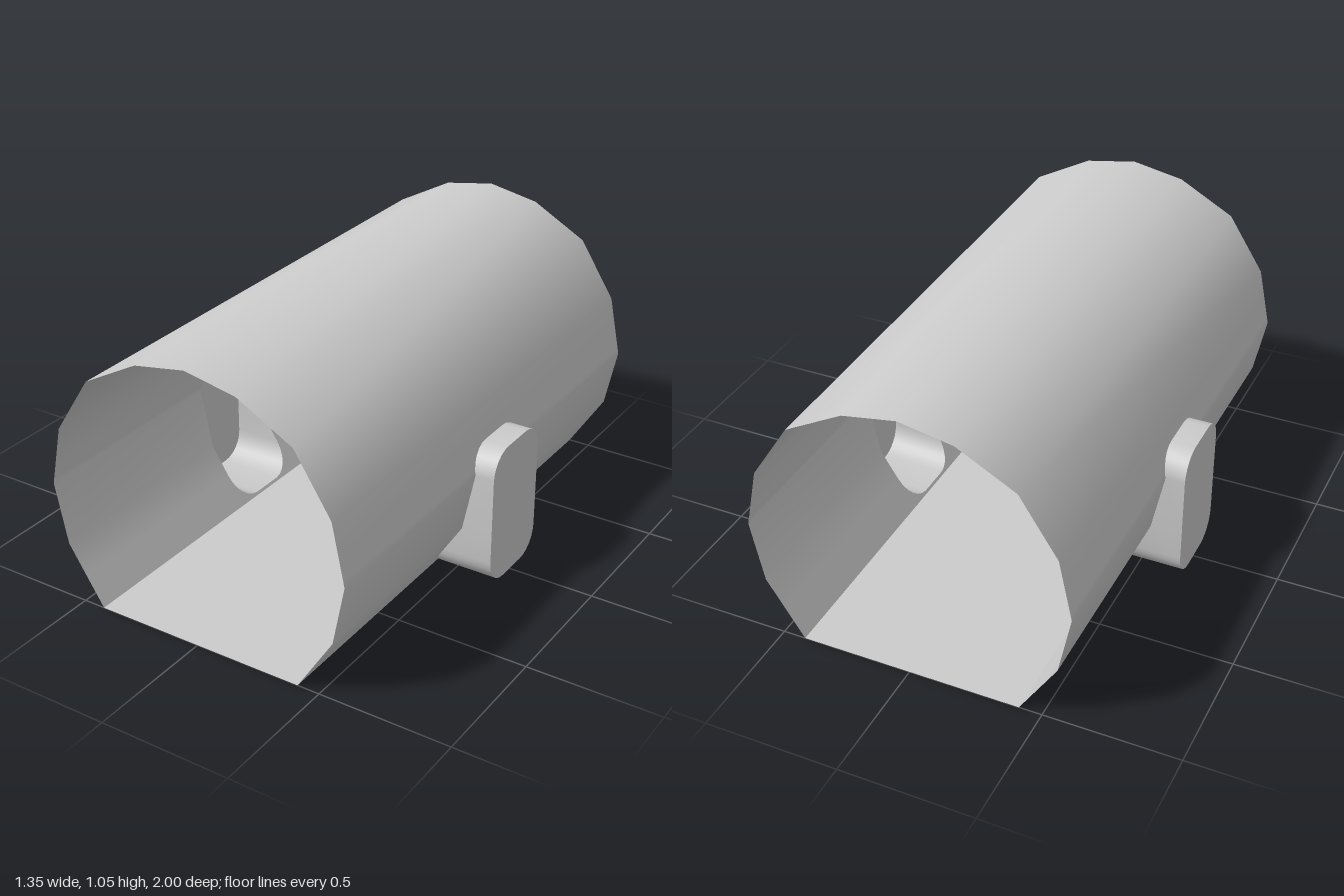
import * as THREE from 'three';
import { toCreasedNormals } from 'three/addons/utils/BufferGeometryUtils.js';

const material = new THREE.MeshStandardMaterial({ color: 0xcccccc, side: THREE.DoubleSide });

// Half of the tunnel section, floor corner to crown, as [x, y]
const PROFILE = [[0.415, 0], [0.555, 0.22], [0.602, 0.45], [0.555, 0.678], [0.415, 0.895], [0.2, 1.012], [0, 1.048]];
const HALF_LENGTH = 1;
const ALCOVE_X = 0.675;

function wallX(y) {
  for (let i = 1; i < PROFILE.length; i++) {
    const [x0, y0] = PROFILE[i - 1], [x1, y1] = PROFILE[i];
    if (y <= y1) return x0 + (x1 - x0) * (y - y0) / (y1 - y0);
  }
  return 0;
}

// Rounded doorway: half width at each height, including the wall's creases
function doorwayLevels() {
  const bottom = 0.01, top = 0.545, half = 0.165, r = 0.1, steps = 6;
  const levels = [[0.22, half], [0.45, half - r + Math.sqrt(r * r - 0.005 ** 2)]];
  for (let i = 0; i <= steps; i++) {
    const a = (i / steps) * Math.PI / 2;
    const w = half - r + r * Math.cos(a);
    levels.push([bottom + r - r * Math.sin(a), w], [top - r + r * Math.sin(a), w]);
  }
  return levels.sort((a, b) => a[0] - b[0]);
}

// Collects quads, swapping the corner order on the mirrored side
function surface() {
  const pos = [];
  return {
    quad(a, b, c, d, side = 1) {
      const corners = side > 0 ? [a, b, c, a, c, d] : [a, c, b, a, d, c];
      for (const [x, y, z] of corners) pos.push(x * side, y, z);
    },
    mesh(name) {
      const geo = new THREE.BufferGeometry();
      geo.setAttribute('position', new THREE.Float32BufferAttribute(pos, 3));
      const mesh = new THREE.Mesh(toCreasedNormals(geo, 0.65), material);
      mesh.name = name;
      return mesh;
    }
  };
}

export function createModel() {
  const group = new THREE.Group();
  group.name = 'tunnel';
  const levels = doorwayLevels();
  const first = levels[0][0], last = levels[levels.length - 1][0];
  const L = HALF_LENGTH;

  // Vaulted walls, open at both ends, with a doorway in each side
  const walls = surface();
  for (const side of [1, -1]) {
    const strip = (y0, y1, za0, zb0, za1 = za0, zb1 = zb0) => walls.quad(
      [wallX(y0), y0, za0], [wallX(y0), y0, zb0], [wallX(y1), y1, zb1], [wallX(y1), y1, za1], side);
    strip(0, first, L, -L);
    for (let i = 1; i < levels.length; i++) {
      const [y0, w0] = levels[i - 1], [y1, w1] = levels[i];
      strip(y0, y1, L, w0, L, w1);
      strip(y0, y1, -w0, -L, -w1, -L);
    }
    const above = [last, ...PROFILE.map(p => p[1]).filter(y => y > last)];
    for (let i = 1; i < above.length; i++) strip(above[i - 1], above[i], L, -L);
  }
  group.add(walls.mesh('tunnelWalls'));

  // Flat floor
  const floor = surface(), fx = PROFILE[0][0];
  floor.quad([-fx, 0, -L], [fx, 0, -L], [fx, 0, L], [-fx, 0, L]);
  group.add(floor.mesh('floor'));

  // Hollow side alcoves, opening into the tunnel
  for (const side of [1, -1]) {
    const alcove = surface();
    const inner = (y, z) => [wallX(y), y, z];
    const outer = (y, z) => [ALCOVE_X, y, z];
    for (let i = 1; i < levels.length; i++) {
      const [y0, w0] = levels[i - 1], [y1, w1] = levels[i];
      alcove.quad(inner(y0, w0), outer(y0, w0), outer(y1, w1), inner(y1, w1), side);
      alcove.quad(outer(y0, -w0), inner(y0, -w0), inner(y1, -w1), outer(y1, -w1), side);
      alcove.quad(outer(y0, w0), outer(y0, -w0), outer(y1, -w1), outer(y1, w1), side);
    }
    // Sill and lintel
    const wb = levels[0][1], wt = levels[levels.length - 1][1];
    alcove.quad(inner(first, -wb), outer(first, -wb), outer(first, wb), inner(first, wb), side);
    alcove.quad(inner(last, wt), outer(last, wt), outer(last, -wt), inner(last, -wt), side);
    group.add(alcove.mesh(side > 0 ? 'leftAlcove' : 'rightAlcove'));
  }
  return group;
}
